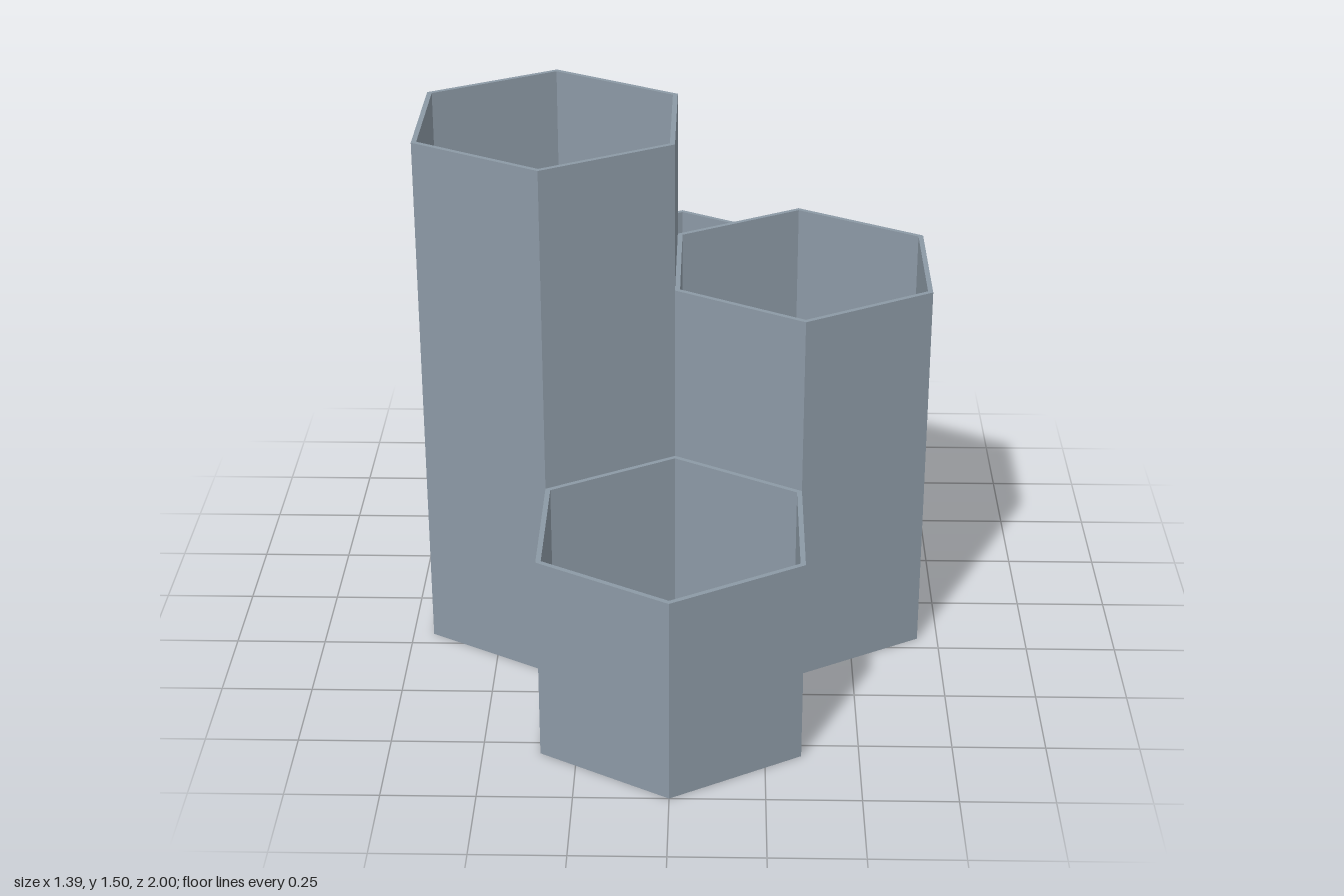
import * as THREE from 'three';

const RADIUS = 0.4; // corner radius of each hexagonal cup
const APOTHEM = RADIUS * Math.cos(Math.PI / 6);
const WALL = 0.0135;
const FLOOR = 0.02;

// Open hexagonal cup with a thin wall and a closed floor, corners towards +z and -z
function hexCup(height) {
  const inner = (APOTHEM - WALL) / Math.cos(Math.PI / 6);
  const profile = [
    [0, 0], [RADIUS, 0], [RADIUS, height],
    [inner, height], [inner, FLOOR], [0, FLOOR],
  ].map(([r, y]) => new THREE.Vector2(r, y));
  return new THREE.LatheGeometry(profile, 6);
}

export function createModel() {
  const group = new THREE.Group();
  group.name = 'hexagonOrganizer';

  const material = new THREE.MeshStandardMaterial({ color: 0x8c99a5 });
  material.name = 'blueGrey';
  material.flatShading = true;

  // Four touching cups of different heights
  const cups = [
    ['rightTallCup', -APOTHEM, 0, 1.5],
    ['leftCup', APOTHEM, 0, 1.083],
    ['backCup', 0, -0.6, 0.833],
    ['frontShortCup', 0, 0.6, 0.583],
  ];
  for (const [name, x, z, height] of cups) {
    const cup = new THREE.Mesh(hexCup(height), material);
    cup.name = name;
    cup.position.set(x, 0, z);
    group.add(cup);
  }
  return group;
}
